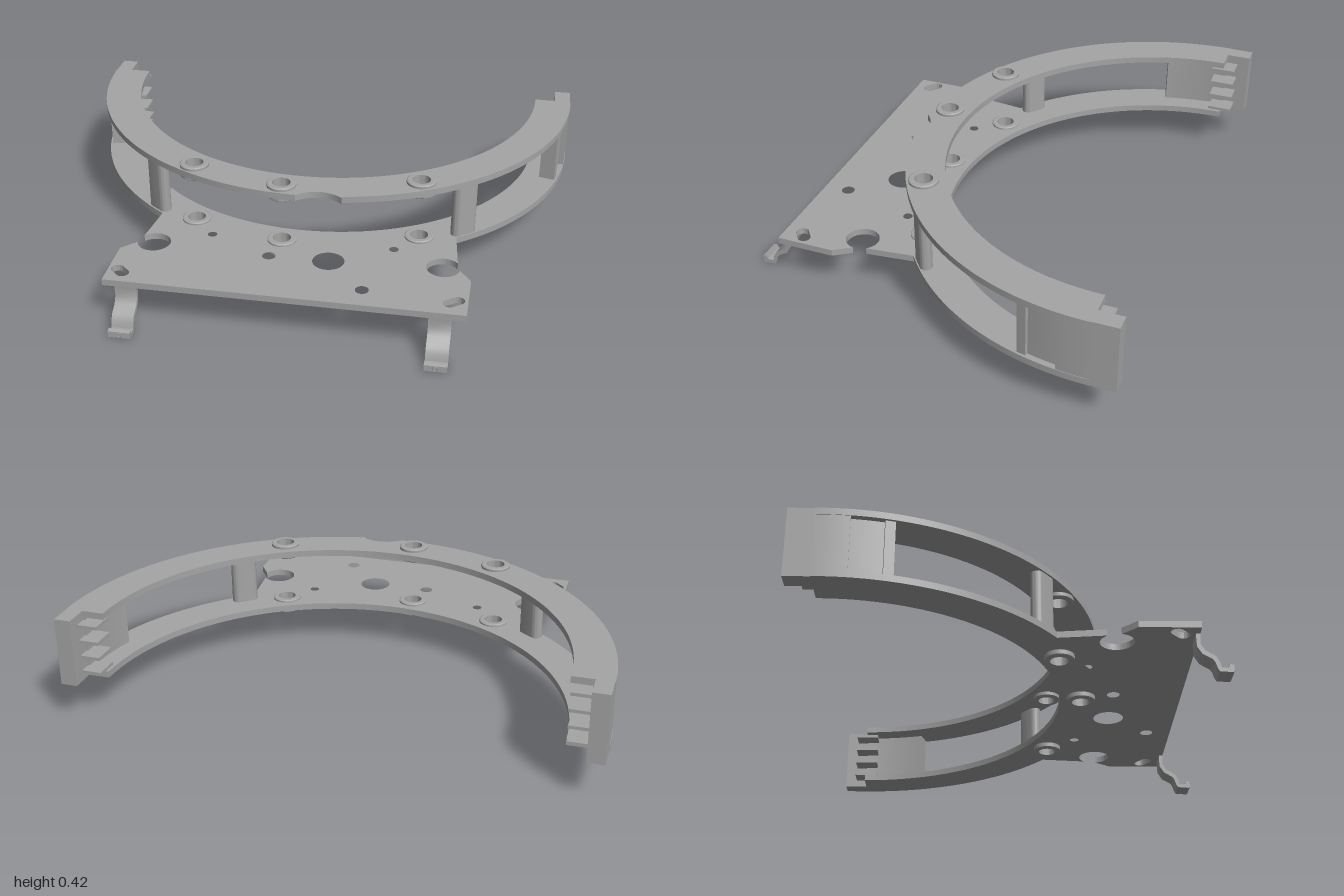
import * as THREE from 'three';
import { toCreasedNormals } from 'three/addons/utils/BufferGeometryUtils.js';

const CZ = -0.67;                       // z of the ring centre
const R_IN = 0.85, R_OUT = 0.997;
const LOW = 0.15, LOW_TOP = 0.175, HIGH = 0.387, HIGH_TOP = 0.412;
const grommetSpots = [[-0.425, 0.163], [-0.065, 0.262], [0.448, 0.148]];

export function createModel() {
  const model = new THREE.Group();
  const grey = new THREE.MeshStandardMaterial({ color: 0xa5a5a5 });

  const add = (name, geometry, parent = model) => {
    const mesh = new THREE.Mesh(geometry, grey);
    mesh.name = name;
    parent.add(mesh);
    return mesh;
  };

  // Extrude an (x, z) outline between two heights
  const slab = (shape, y0, y1, segments = 40) => {
    const g = new THREE.ExtrudeGeometry(shape, { depth: y1 - y0, bevelEnabled: false, curveSegments: segments });
    g.rotateX(Math.PI / 2).translate(0, y1, 0);
    return toCreasedNormals(g, 0.5);
  };

  const box = (name, x0, x1, y0, y1, z0, z1, parent) =>
    add(name, new THREE.BoxGeometry(x1 - x0, y1 - y0, z1 - z0)
      .translate((x0 + x1) / 2, (y0 + y1) / 2, (z0 + z1) / 2), parent);

  const hole = (shape, x, z, r) => shape.holes.push(new THREE.Path().absarc(x, z, r, 0, Math.PI * 2, true));

  // Rounded slot centred at (x, z), turned by angle
  const slotPath = (path, x, z, half, r, angle) => {
    const dx = Math.cos(angle) * half, dz = Math.sin(angle) * half;
    path.absarc(x + dx, z + dz, r, angle - Math.PI / 2, angle + Math.PI / 2, false);
    path.absarc(x - dx, z - dz, r, angle + Math.PI / 2, angle + Math.PI * 1.5, false);
    path.closePath();
    return path;
  };

  // Inner edge shared by both plates
  const startRing = () => {
    const s = new THREE.Shape();
    s.absarc(0, CZ, R_IN, 0, Math.PI, false);
    return s;
  };

  // Upper ring with a shallow bite in its outer edge
  const upper = startRing();
  upper.absarc(0, CZ, R_OUT, Math.PI, Math.PI / 2, true);
  upper.absarc(0.09, 0.41, 0.12, -2.41, -0.82, false);
  upper.absarc(0, CZ, R_OUT, 1.398, 0, true);
  grommetSpots.forEach(([x, z]) => hole(upper, x, z, 0.044));
  add('upperRing', slab(upper, HIGH, HIGH_TOP));

  // Lower ring joined to the mounting plate
  const lower = startRing();
  lower.absarc(0, CZ, R_OUT, Math.PI, Math.PI - Math.acos(0.572), true);
  lower.absarc(-0.54, 0.365, 0.063, -2.49, 2.976, false);
  lower.lineTo(-0.655, 0.43);
  lower.lineTo(-0.655, 0.652);
  lower.lineTo(0.667, 0.652);
  lower.lineTo(0.667, 0.43);
  lower.absarc(0.56, 0.355, 0.063, 0.165, Math.PI * 2 - 0.65, false);
  lower.absarc(0, CZ, R_OUT, Math.acos(0.592), 0, true);
  grommetSpots.forEach(([x, z]) => hole(lower, x, z, 0.044));
  hole(lower, 0.135, 0.385, 0.06);
  [[-0.09, 0.387, 0.025], [0.285, 0.555, 0.025], [-0.335, 0.272, 0.018], [0.365, 0.26, 0.018]]
    .forEach(([x, z, r]) => hole(lower, x, z, r));
  lower.holes.push(slotPath(new THREE.Path(), -0.607, 0.583, 0.018, 0.024, 0.75));
  lower.holes.push(slotPath(new THREE.Path(), 0.616, 0.575, 0.018, 0.024, -0.65));
  add('lowerPlate', slab(lower, LOW, LOW_TOP));

  // Grommets in both plates: flange, neck, flange around an open bore
  const grommet = (bottom, top, y0, y1) => {
    const profile = [[0.035, y0], [0.051, y0], [0.056, y0 + 0.004], [0.056, bottom], [0.044, bottom],
      [0.044, top], [0.056, top], [0.056, y1 - 0.003], [0.051, y1], [0.035, y1], [0.035, y0]];
    return toCreasedNormals(new THREE.LatheGeometry(profile.map(p => new THREE.Vector2(...p)), 32), 0.5);
  };
  for (const [x, z] of grommetSpots) {
    add('upperGrommet', grommet(HIGH, HIGH_TOP, 0.369, 0.424)).position.set(x, 0, z);
    add('lowerGrommet', grommet(LOW, LOW_TOP, 0.129, 0.184)).position.set(x, 0, z);
  }

  // Standoff columns, lying along the ring
  for (const [x, z] of [[-0.59, 0.095], [0.61, 0.082]]) {
    const tangent = Math.atan2(z - CZ, x) - Math.PI / 2;
    add('standoffColumn', slab(slotPath(new THREE.Shape(), x, z, 0.028, 0.024, tangent), LOW_TOP, HIGH, 10));
  }

  // End assemblies: curved wall, end post and comb fins
  for (const side of [-1, 1]) {
    const end = new THREE.Group();
    end.name = side > 0 ? 'leftEnd' : 'rightEnd';
    model.add(end);
    const sector = (name, r0, r1, a0, a1) => {
      const [from, to] = side > 0 ? [a0, a1] : [Math.PI - a1, Math.PI - a0];
      const s = new THREE.Shape();
      s.absarc(0, CZ, r1, from, to, false);
      s.absarc(0, CZ, r0, to, from, true);
      add(name, slab(s, LOW_TOP, HIGH, 12), end);
    };
    const sideBox = (name, x0, x1, ...rest) =>
      side > 0 ? box(name, x0, x1, ...rest, end) : box(name, -x1, -x0, ...rest, end);

    sector('flushWall', 0.925, 0.995, 0, 0.12);
    sector('recessedWall', 0.925, 0.975, 0.12, 0.237);
    sector('wallRib', 0.925, 0.988, 0.237, 0.273);
    sideBox('endPost', 0.932, 0.995, LOW, HIGH_TOP, -0.763, CZ);
    for (const y of [0.185, 0.246, 0.308, 0.37])
      sideBox('combFin', 0.857, 0.94, y - 0.006, y + 0.006, -0.715, -0.62);
  }

  // Bent strip feet under the front edge, profile drawn in (z, y)
  const front = [[0.652, 0.152], [0.65, 0.11], [0.665, 0.085], [0.702, 0.062], [0.714, 0.04], [0.72, 0.017],
    [0.744, 0.017], [0.748, 0.032], [0.763, 0.028]];
  const back = [[0.763, 0.004], [0.758, 0], [0.712, 0.003], [0.705, 0.015], [0.698, 0.038], [0.69, 0.05],
    [0.655, 0.07], [0.637, 0.1], [0.636, 0.152]];
  const footShape = new THREE.Shape([...front, ...back].map(p => new THREE.Vector2(...p)));
  for (const x of [-0.567, 0.575]) {
    const g = new THREE.ExtrudeGeometry(footShape, { depth: 0.082, bevelEnabled: false });
    g.rotateY(-Math.PI / 2).translate(x + 0.041, 0, 0);
    add('springFoot', toCreasedNormals(g, 0.6));
    // Small bore mark in the foot tip
    const mark = add('footBore', new THREE.TorusGeometry(0.009, 0.002, 6, 16));
    mark.position.set(x, 0.016, 0.763);
  }
  return model;
}
